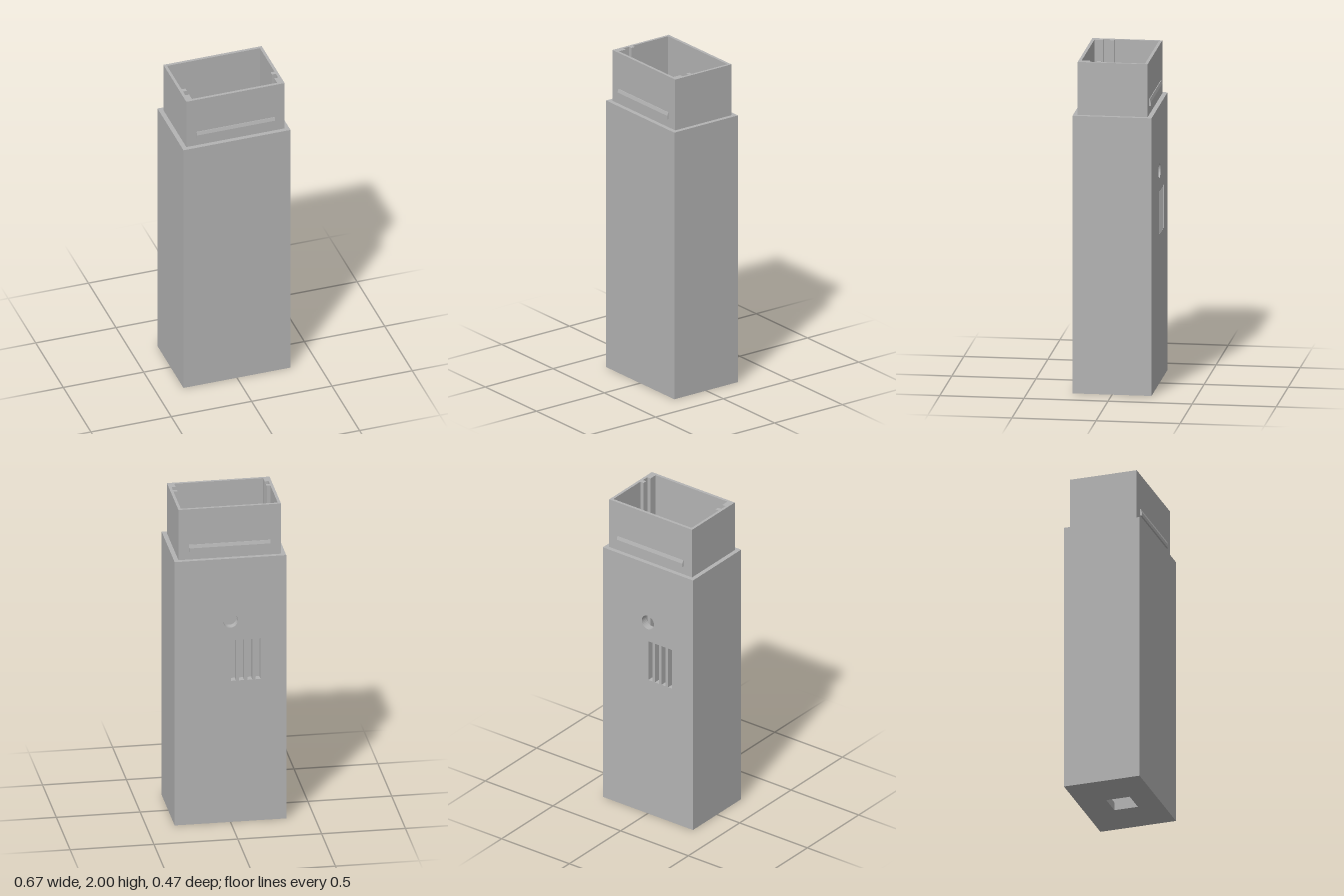
import * as THREE from 'three';

export function createModel() {
  const model = new THREE.Group();
  const grey = new THREE.MeshStandardMaterial({ color: 0xb3b3b3 });
  grey.name = 'matte grey';

  const W = 0.333, D = 0.235;      // body half sizes
  const NW = 0.306, ND = 0.208;    // neck half sizes
  const IW = 0.289, ID = 0.19;     // cavity half sizes
  const FLOOR = 0.05, SHOULDER = 1.68, TOP = 2;

  function add(name, geometry, x = 0, y = 0, z = 0) {
    const mesh = new THREE.Mesh(geometry, grey);
    mesh.name = name;
    mesh.position.set(x, y, z);
    model.add(mesh);
    return mesh;
  }
  // box given by its limits
  function block(name, x0, x1, y0, y1, z0, z1) {
    return add(name, new THREE.BoxGeometry(x1 - x0, y1 - y0, z1 - z0),
      (x0 + x1) / 2, (y0 + y1) / 2, (z0 + z1) / 2);
  }
  function rect(x0, x1, y0, y1, Type = THREE.Shape) {
    return new Type([[x0, y0], [x1, y0], [x1, y1], [x0, y1]].map(p => new THREE.Vector2(...p)));
  }
  const extrude = (shape, depth) =>
    new THREE.ExtrudeGeometry(shape, { depth, bevelEnabled: false, curveSegments: 16 });

  // floor with a square opening (shape y becomes -z)
  const floor = rect(-IW, IW, -ID, ID);
  floor.holes.push(rect(-0.074, 0.074, -0.086, 0.06, THREE.Path));
  add('floor', extrude(floor, FLOOR).rotateX(-Math.PI / 2));

  // body walls
  block('frontWall', -W, W, 0, SHOULDER, ID, D);
  for (const s of [-1, 1]) {
    const [a, b] = s > 0 ? [IW, W] : [-W, -IW];
    block(s > 0 ? 'leftWall' : 'rightWall', a, b, 0, SHOULDER, -ID, ID);
  }

  // back wall with a round hole and four vent slots
  const back = rect(-W, W, 0, SHOULDER);
  back.holes.push(new THREE.Path().absarc(0, 1.285, 0.045, 0, Math.PI * 2, true));
  for (let i = 0; i < 4; i++) {
    const x = -0.018 - i * 0.049;
    back.holes.push(rect(x - 0.015, x + 0.015, 0.9, 1.16, THREE.Path));
  }
  add('backWall', extrude(back, D - ID), 0, 0, -D);

  // hollow neck
  const neck = rect(-NW, NW, -ND, ND);
  neck.holes.push(rect(-IW, IW, -ID, ID, THREE.Path));
  add('neck', extrude(neck, TOP - SHOULDER).rotateX(-Math.PI / 2), 0, SHOULDER, 0);

  // snap ridges on the front and back of the neck
  const ridge = new THREE.Shape([[-0.004, 0], [0.01, 0], [0.01, 0.022], [0.004, 0.042], [-0.004, 0.042]]
    .map(p => new THREE.Vector2(...p)));
  for (const s of [-1, 1]) {
    const g = extrude(ridge, 0.486).translate(0, 0, -0.243).rotateY(-s * Math.PI / 2);
    add(s > 0 ? 'frontRidge' : 'backRidge', g, 0, 1.732, s * ND);
  }

  // inner guide rails with a groove between them, closed at the bottom
  for (const s of [-1, 1]) {
    const [a, b] = s > 0 ? [0.265, IW] : [-IW, -0.265];
    const side = s > 0 ? 'left' : 'right';
    block(side + 'RearRail', a, b, FLOOR, TOP, 0.073, 0.098);
    block(side + 'FrontRail', a, b, FLOOR, TOP, 0.14, ID);
    block(side + 'GrooveStop', a, b, FLOOR, 0.3, 0.098, 0.14);
  }
  return model;
}
